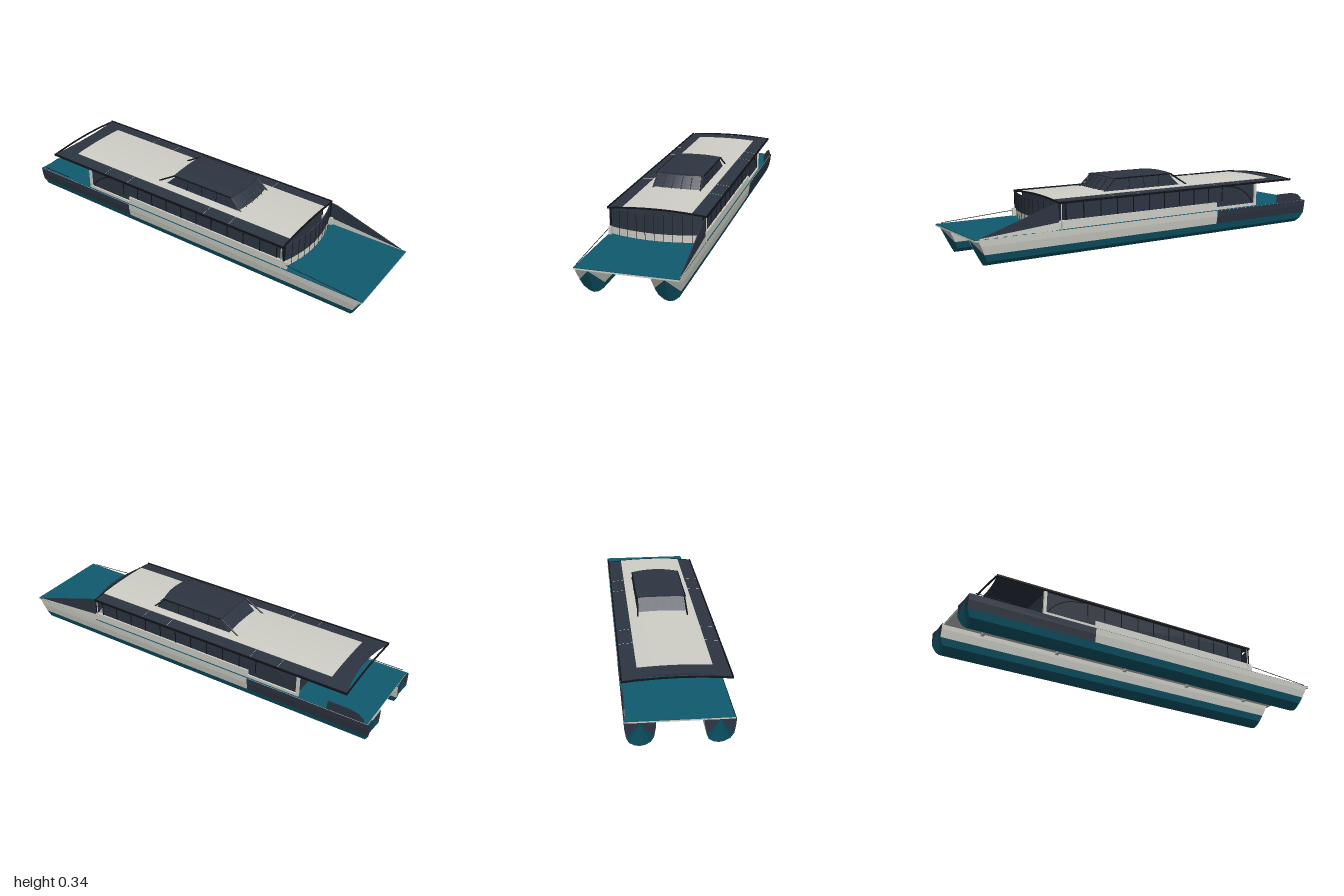
import * as THREE from 'three';

const mat = (name, color) => {
  const m = new THREE.MeshStandardMaterial({ color, side: THREE.DoubleSide });
  m.name = name;
  return m;
};

export function createModel() {
  const root = new THREE.Group();
  root.name = 'catamaranFerry';
  const teal = mat('teal', 0x0f5a6e), white = mat('offWhite', 0xd0d0c8);
  const navy = mat('navy', 0x2d3542), black = mat('black', 0x101318);

  const add = (name, geo, m) => {
    const mesh = new THREE.Mesh(geo, m);
    mesh.name = name;
    root.add(mesh);
    return mesh;
  };
  // box given by its limits
  const box = (name, m, x0, x1, y0, y1, z0, z1) =>
    add(name, new THREE.BoxGeometry(x1 - x0, y1 - y0, z1 - z0)
      .translate((x0 + x1) / 2, (y0 + y1) / 2, (z0 + z1) / 2), m);
  // straight rod between two points
  const rod = (name, m, a, b, r = 0.0025) => {
    const p = new THREE.Vector3(...a), q = new THREE.Vector3(...b);
    const mesh = add(name, new THREE.CylinderGeometry(r, r, p.distanceTo(q), 6), m);
    mesh.position.copy(p).lerp(q, 0.5);
    mesh.quaternion.setFromUnitVectors(new THREE.Vector3(0, 1, 0), q.sub(p).normalize());
  };
  // flat plate drawn in the side plane
  const plate = (name, m, pts, z) =>
    add(name, new THREE.ExtrudeGeometry(new THREE.Shape(pts.map(p => new THREE.Vector2(...p))),
      { depth: 0.004, bevelEnabled: false }).translate(0, 0, z - 0.002), m);
  // subdivided box whose vertices follow a rule
  const bent = (name, m, size, seg, rule) => {
    const g = new THREE.BoxGeometry(...size, ...seg), p = g.attributes.position;
    const v = new THREE.Vector3();
    for (let i = 0; i < p.count; i++) {
      v.fromBufferAttribute(p, i);
      rule(v);
      p.setXYZ(i, v.x, v.y, v.z);
    }
    g.computeVertexNormals();
    return add(name, g, m);
  };

  // Hulls: half profile (offset from keel line, height), lofted from stern to bow
  const half = [[0.067, 0.13], [0.065, 0.1], [0.058, 0.06], [0.046, 0.026], [0.022, 0.005]];
  const profile = [...half, [0, 0], ...half.slice().reverse().map(([d, y]) => [-d, y])];
  const sternX = y => -0.97 - 0.03 * Math.min(1, y / 0.06);
  const bowX = (d, y) => 0.935 + 0.065 * y / 0.13 - 0.015 * Math.abs(d) / 0.067;
  for (const s of [1, -1]) {
    const faces = { teal: [], white: [], navy: [] };
    const P = (x, [d, y]) => [x, y, s * (0.168 + d)];
    const tri = (key, a, b, c) => s > 0 ? faces[key].push(...a, ...b, ...c) : faces[key].push(...a, ...c, ...b);
    const quad = (key, a, b, xa0, xa1, xb0, xb1) => {
      tri(key, P(xa0, a), P(xb0, b), P(xb1, b));
      tri(key, P(xa0, a), P(xb1, b), P(xa1, a));
    };
    for (let i = 0; i < profile.length - 1; i++) {
      const a = profile[i], b = profile[i + 1];
      const upper = Math.max(a[1], b[1]) > 0.061, outer = a[0] + b[0] > 0;
      const sa = sternX(a[1]), sb = sternX(b[1]), ba = bowX(...a), bb = bowX(...b);
      if (upper && outer) {
        quad('navy', a, b, sa, -0.36, sb, -0.36);
        quad('white', a, b, -0.36, ba, -0.36, bb);
      } else quad(upper ? 'white' : 'teal', a, b, sa, ba, sb, bb);
      // raked bow fan and transom
      tri(upper ? 'white' : 'teal', P(ba, a), P(bb, b), P(0.996, [0, 0.122]));
      tri(upper ? 'navy' : 'teal', P(sb, b), P(sa, a), P(-0.998, [0, 0.128]));
    }
    const mats = { teal, white, navy };
    for (const key in faces) {
      const g = new THREE.BufferGeometry();
      g.setAttribute('position', new THREE.Float32BufferAttribute(faces[key], 3));
      g.computeVertexNormals();
      add(`${key}Hull`, g, mats[key]);
    }
  }

  // Bridge deck and beams across the tunnel
  box('bridgeDeck', white, -0.99, 0.998, 0.123, 0.13, -0.232, 0.232);
  box('deckSurface', teal, -0.99, 0.998, 0.13, 0.133, -0.232, 0.232);
  for (let x = -0.8; x < 0.9; x += 0.4) box('crossBeam', white, x - 0.008, x + 0.008, 0.112, 0.124, -0.112, 0.112);

  // Passenger cabin
  box('cabinWindows', navy, -0.625, 0.54, 0.14, 0.258, -0.22, 0.22);
  for (const s of [1, -1]) {
    const z0 = s > 0 ? 0.216 : -0.228, z1 = s > 0 ? 0.228 : -0.216;
    box('lowerWall', white, -0.36, 0.6, 0.13, 0.173, z0, z1);
    box('lowerWallAft', white, -0.635, -0.36, 0.13, 0.147, z0, z1);
    box('aftPost', white, -0.636, -0.622, 0.13, 0.256, z0, z1);
    for (let i = 0; i < 11; i++) {
      const x = -0.4 + i * 0.094;
      box('windowPost', black, x - 0.002, x + 0.002, 0.173, 0.256, s * 0.221 - 0.002, s * 0.221 + 0.002);
    }
    const arc = new THREE.QuadraticBezierCurve3(new THREE.Vector3(-0.615, 0.15, s * 0.221),
      new THREE.Vector3(-0.55, 0.25, s * 0.221), new THREE.Vector3(-0.42, 0.252, s * 0.221));
    add('windowArc', new THREE.TubeGeometry(arc, 14, 0.0025, 5), black);
    box('frontPost', black, 0.578, 0.586, 0.13, 0.256, s * 0.222 - 0.004, s * 0.222 + 0.004);
    rod('roofStanchion', white, [0.57, 0.13, s * 0.231], [0.57, 0.256, s * 0.231]);
  }

  // Curved screen facing the foredeck
  const screenX = z => 0.58 + 0.038 * (1 - (z / 0.218) ** 2);
  const screen = (name, m, y0, y1) =>
    bent(name, m, [0.005, y1 - y0, 0.436], [1, 1, 10], v => { v.x += screenX(v.z); v.y += (y0 + y1) / 2; });
  screen('screenBase', white, 0.13, 0.168);
  screen('screenWindows', navy, 0.168, 0.255);
  for (let i = 0; i <= 10; i++) {
    const z = -0.218 + i * 0.0436, x = screenX(z);
    box('screenPost', black, x, x + 0.004, 0.133, 0.256, z - 0.001, z + 0.001);
  }

  // Cambered main roof with hollowed aft edge
  const camber = (z, hw) => 1 - (z / hw) ** 2;
  const roofY = z => 0.256 + 0.013 * camber(z, 0.235);
  bent('mainRoof', navy, [1.455, 0.005, 0.47], [1, 1, 16], v => {
    v.y += roofY(v.z);
    if (v.x < 0) v.x += 0.028 * camber(v.z, 0.235);
    v.x -= 0.15;
  });
  bent('roofPanel', white, [1.345, 0.003, 0.33], [1, 1, 14], v => { v.y += roofY(v.z) + 0.003; v.x -= 0.0975; });
  for (const s of [1, -1]) {
    box('roofEdge', black, -0.88, 0.582, 0.253, 0.263, s * 0.236 - 0.003, s * 0.236 + 0.003);
    for (const x of [-0.52, -0.37, 0.12, 0.27])
      rod('roofSeam', white, [x, roofY(0.165) + 0.002, s * 0.165], [x, roofY(0.23) + 0.002, s * 0.23], 0.0012);
  }
  for (const x of [-0.878, 0.579])
    bent('roofEndBar', black, [0.006, 0.007, 0.476], [1, 1, 16], v => { v.y += roofY(v.z); v.x += x; });

  // Wheelhouse: tapered body, raked bowed front
  const frontBow = z => 0.018 * camber(z, 0.122);
  bent('wheelhouse', navy, [2, 2, 2], [1, 1, 6], v => {
    const t = (v.y + 1) / 2, bow = v.x > 0;
    v.z *= 0.122 - 0.008 * t;
    v.x = bow ? 0.265 - 0.065 * t + frontBow(v.z) : -0.2 + 0.07 * t;
    v.y = 0.258 + 0.068 * t;
  });
  bent('wheelhouseRoof', navy, [0.35, 0.006, 0.246], [1, 1, 10], v => {
    if (v.x > 0) v.x += frontBow(v.z);
    v.x += 0.035;
    v.y += 0.329 + 0.007 * camber(v.z, 0.123);
  });
  for (let i = 0; i < 6; i++) {
    const z = -0.11 + i * 0.044;
    rod('wheelhouseFrontPost', black, [0.266 + frontBow(z), 0.264, z * 1.07], [0.205 + frontBow(z), 0.325, z], 0.002);
  }
  for (const s of [1, -1]) {
    rod('wheelhouseStrut', black, [-0.24, 0.266, s * 0.122], [-0.135, 0.33, s * 0.118], 0.004);
    rod('wheelhouseRoofRail', black, [-0.14, 0.33, s * 0.122], [0.21, 0.33, s * 0.122], 0.0035);
    rod('wheelhouseCorner', black, [0.275, 0.264, s * 0.121], [0.205, 0.328, s * 0.116], 0.003);
    for (const x of [-0.06, 0.03, 0.12])
      rod('wheelhouseSidePost', black, [x, 0.266, s * 0.1215], [x, 0.325, s * 0.1145], 0.0015);
  }

  // Bow wing and stern bulwark on one side, open rails on the other
  plate('bowWing', navy, [[0.585, 0.255], [0.62, 0.25], [0.975, 0.136], [0.585, 0.168]], -0.23);
  plate('bowWingSill', white, [[0.585, 0.168], [0.975, 0.136], [0.975, 0.13], [0.585, 0.13]], -0.23);
  plate('sternBulwark', navy,
    [[-0.975, 0.13], [-0.97, 0.148], [-0.945, 0.168], [-0.9, 0.178], [-0.79, 0.178], [-0.785, 0.13]], -0.23);
  rod('bowRail', black, [0.6, 0.16, 0.23], [0.97, 0.136, 0.23], 0.0015);
  rod('sternRail', black, [-0.97, 0.14, 0.23], [-0.79, 0.14, 0.23], 0.0015);

  return root;
}
